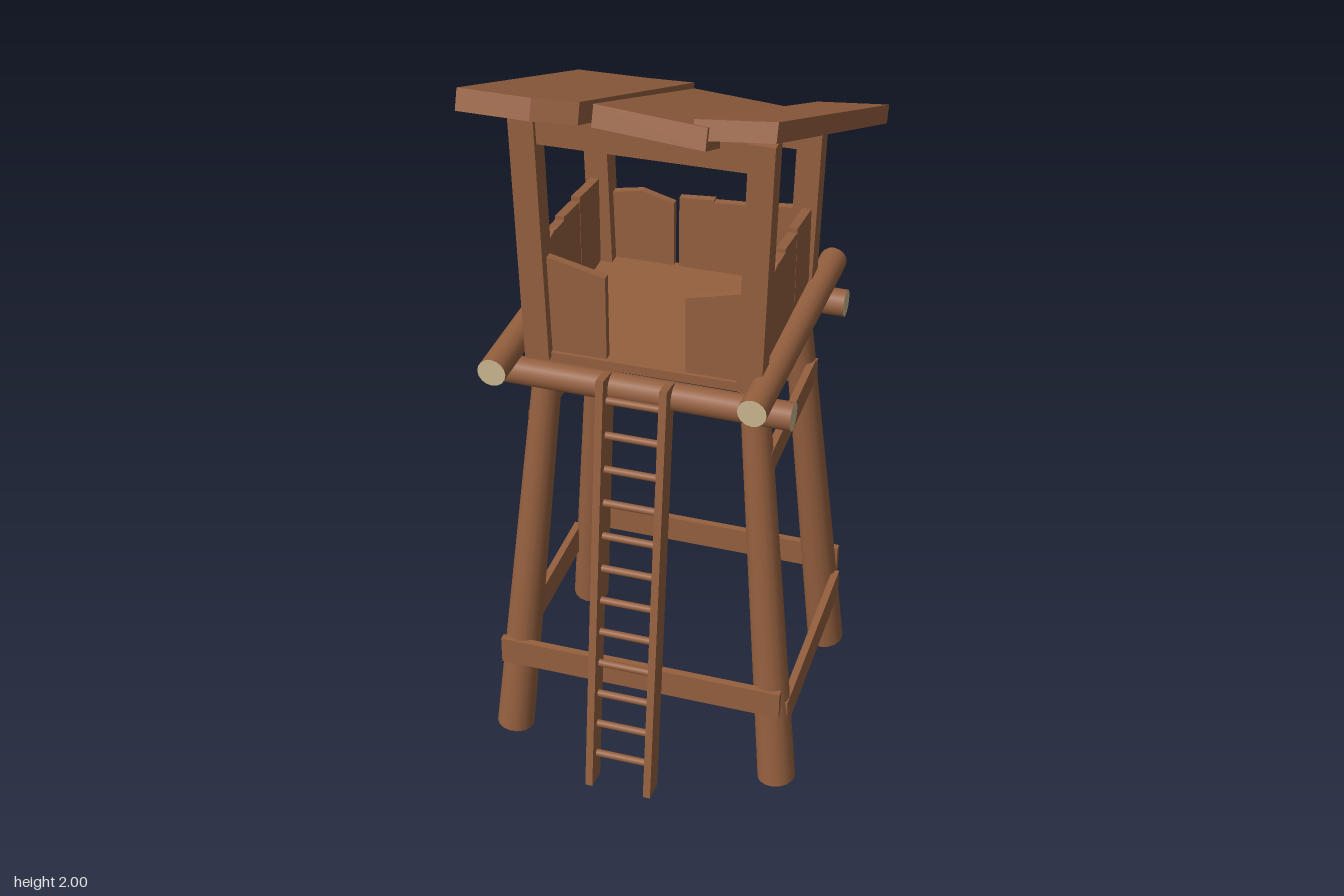
import * as THREE from 'three';

export function createModel() {
  const model = new THREE.Group();
  const wood = new THREE.MeshStandardMaterial({ color: 0x95603f });
  const cutWood = new THREE.MeshStandardMaterial({ color: 0xcbb78f });
  const V = (p) => new THREE.Vector3(...p);

  // Place a mesh whose long axis is local y between two points
  function span(name, geometry, material, a, b) {
    const mesh = new THREE.Mesh(geometry, material);
    const dir = V(b).sub(V(a)).normalize();
    mesh.quaternion.setFromUnitVectors(new THREE.Vector3(0, 1, 0), dir);
    mesh.position.copy(V(a).add(V(b)).multiplyScalar(0.5));
    mesh.name = name;
    model.add(mesh);
  }
  const length = (a, b) => V(a).distanceTo(V(b));
  const beam = (name, a, b, w, d) =>
    span(name, new THREE.BoxGeometry(w, length(a, b), d), wood, a, b);
  const log = (name, a, b, ra, rb = ra, ends = cutWood) =>
    span(name, new THREE.CylinderGeometry(rb, ra, length(a, b), 16), [wood, ends, ends], a, b);

  function extrude(points, depth) {
    const shape = new THREE.Shape(points.map((p) => new THREE.Vector2(...p)));
    return new THREE.ExtrudeGeometry(shape, { depth, bevelEnabled: false });
  }
  function add(name, geometry, x = 0, y = 0, z = 0) {
    const mesh = new THREE.Mesh(geometry, wood);
    mesh.name = name;
    mesh.position.set(x, y, z);
    model.add(mesh);
  }

  // Splayed legs and corner posts
  for (const s of [-1, 1]) {
    const side = s < 0 ? 'right' : 'left';
    log(side + 'FrontLeg', [s * 0.382, 0.006, 0.257], [s * 0.268, 1.22, 0.172], 0.052, 0.037);
    log(side + 'BackLeg', [s * 0.37, 0.006, -0.365], [s * 0.268, 1.22, -0.25], 0.052, 0.037);
    beam(side + 'FrontPost', [s * 0.275, 1.23, 0.217], [s * 0.293, 1.9, 0.217], 0.064, 0.062);
    beam(side + 'BackPost', [s * 0.275, 1.23, -0.282], [s * 0.288, 1.7, -0.282], 0.064, 0.064);

    // Side braces
    beam(side + 'LowerBrace', [s * 0.397, 0.235, 0.262], [s * 0.397, 0.235, -0.338], 0.02, 0.085);
    beam(side + 'UpperBrace', [s * 0.316, 0.995, 0.195], [s * 0.316, 0.995, -0.27], 0.02, 0.07);
  }
  beam('frontLowerBrace', [-0.4, 0.285, 0.28], [0.39, 0.283, 0.28], 0.08, 0.02);
  beam('backLowerBrace', [-0.4, 0.285, -0.39], [0.39, 0.283, -0.39], 0.08, 0.02);
  beam('backUpperBrace', [-0.31, 0.965, -0.308], [0.32, 0.965, -0.308], 0.075, 0.02);

  // Platform logs and floor
  log('frontCrossLog', [-0.39, 1.19, 0.25], [0.39, 1.187, 0.25], 0.037);
  log('backCrossLog', [-0.39, 1.19, -0.315], [0.39, 1.19, -0.315], 0.037);
  log('rightSideLog', [-0.345, 1.255, 0.38], [-0.345, 1.25, -0.42], 0.037);
  log('leftSideLog', [0.313, 1.25, 0.36], [0.325, 1.25, -0.43], 0.037);
  add('floor', new THREE.BoxGeometry(0.56, 0.025, 0.53), 0, 1.232, -0.035);

  // Plank walls: each plank is [start, end, top at start, top at end]
  const plank = ([a, b, ya, yb], depth) =>
    extrude([[a, 1.225], [b, 1.225], [b, yb], [a, ya]], depth);
  const frontPlanks = [[-0.25, -0.1, 1.51, 1.475], [0.105, 0.245, 1.455, 1.49]];
  for (const p of frontPlanks) add('frontWallPlank', plank(p, 0.022), 0, 0, 0.198);
  const backPlanks = [
    [-0.25, -0.17, 1.44, 1.455], [-0.17, -0.08, 1.455, 1.43],
    [-0.065, 0.03, 1.45, 1.457], [0.03, 0.11, 1.45, 1.455], [0.11, 0.25, 1.455, 1.47],
  ];
  for (const p of backPlanks) add('backWallPlank', plank(p, 0.022), 0, 0, -0.306);
  const sidePlanks = [
    [-0.255, -0.1, 1.49, 1.51], [-0.097, 0.02, 1.5, 1.515],
    [0.02, 0.085, 1.505, 1.51], [0.085, 0.165, 1.515, 1.5], [0.168, 0.19, 1.38, 1.38],
  ];
  for (const x of [0.3, -0.276]) {
    for (const p of sidePlanks) add('sideWallPlank', plank(p, 0.024).rotateY(-Math.PI / 2), x);
  }

  // Beams carrying the roof
  beam('frontRoofBeam', [-0.28, 1.86, 0.217], [0.275, 1.86, 0.217], 0.08, 0.035);
  beam('backRoofBeam', [-0.28, 1.675, -0.28], [0.28, 1.675, -0.28], 0.055, 0.035);

  // Roof boards: outline in x and z, sheared onto a slope, ends square to it
  function roofBoard(outline, height, slope, roll, thickness) {
    const g = extrude(outline, thickness).rotateX(Math.PI / 2);
    const p = g.attributes.position;
    for (let i = 0; i < p.count; i++) {
      const [x, y, z] = [p.getX(i), p.getY(i), p.getZ(i)];
      p.setXYZ(i, x, y + height + slope * z + roll * x, z - y * slope);
    }
    g.computeVertexNormals();
    add('roofBoard', g);
  }
  roofBoard([[-0.387, -0.424], [-0.2, -0.434], [-0.08, -0.47], [-0.12, 0.31],
    [-0.22, 0.355], [-0.405, 0.345]], 1.868, 0.365, 0, 0.05);
  roofBoard([[-0.08, -0.47], [0.21, -0.47], [0.187, 0.325], [-0.09, 0.303]],
    1.855, 0.385, -0.07, 0.05);
  roofBoard([[0.25, -0.485], [0.445, -0.46], [0.345, 0.308], [0.15, 0.308]],
    1.842, 0.385, 0.1, 0.045);

  // Ladder
  const ladderZ = (y) => 0.449 - 0.134 * y;
  for (const x of [-0.087, 0.077]) {
    beam('ladderRail', [x, 0.032, ladderZ(0.032)], [x, 1.235, ladderZ(1.235)], 0.02, 0.066);
  }
  for (let i = 0; i < 12; i++) {
    const y = 0.12 + i * 0.0955;
    log('ladderRung', [-0.08, y, ladderZ(y)], [0.07, y, ladderZ(y)], 0.01, 0.01, wood);
  }
  return model;
}
